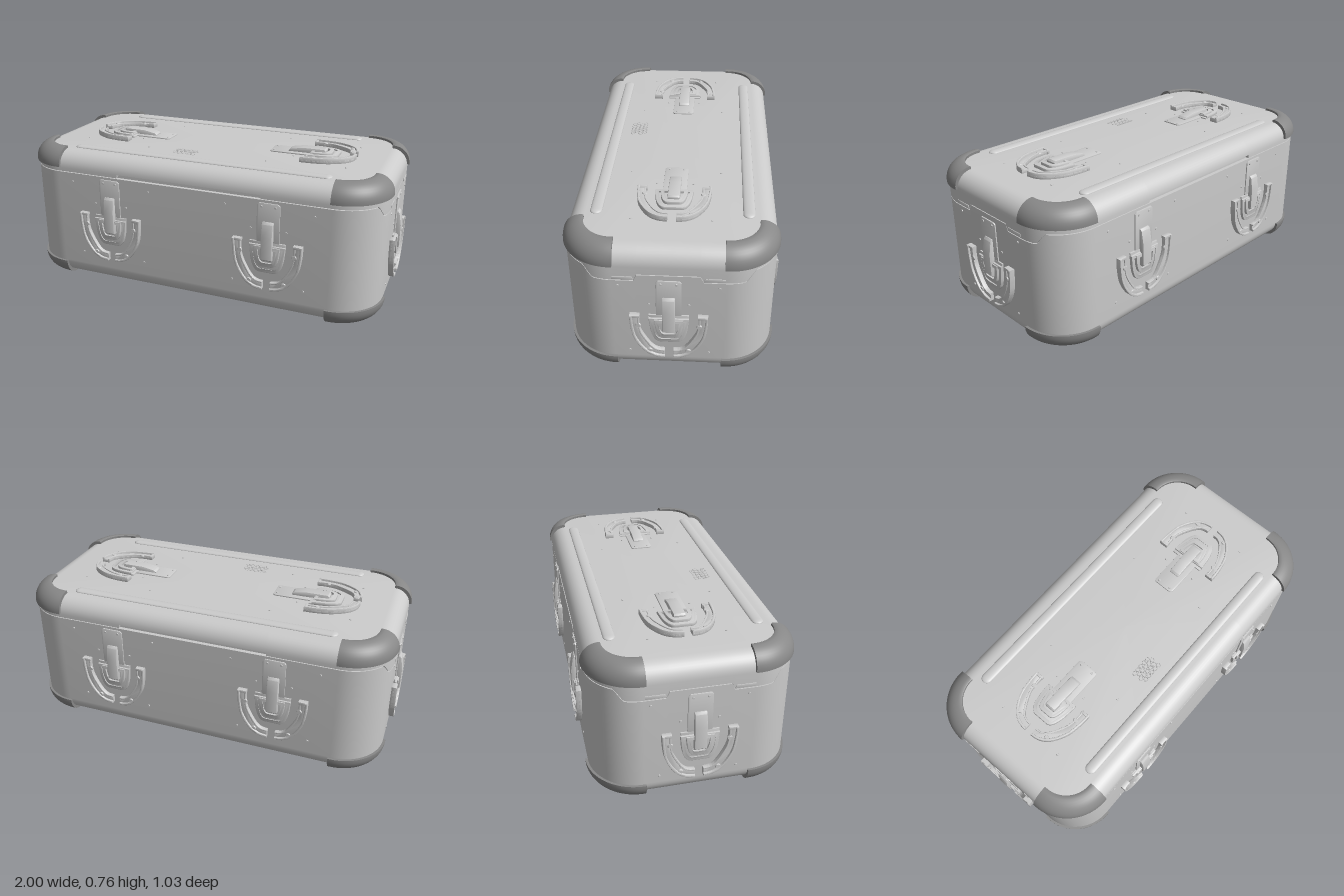
import * as THREE from 'three';
import { toCreasedNormals } from 'three/addons/utils/BufferGeometryUtils.js';

const grey = new THREE.MeshStandardMaterial({ color: 0xcccccc, side: THREE.DoubleSide });
const dark = new THREE.MeshStandardMaterial({ color: 0x888888, side: THREE.DoubleSide });
const W = 0.97, D = 0.485, R = 0.23; // half width, half depth, plan corner radius
const BOTTOM = 0.015, TOP = 0.725, EDGE = 0.085, GUARD_TOP = 0.74;

const mesh = (name, geo, mat = grey) => {
  const m = new THREE.Mesh(geo, mat);
  m.name = name;
  return m;
};
const point = (x, z, nx, nz) => ({ x, z, nx, nz });

// Plan arc of corner k, 0..3, with outward normals; extra lengthens both ends
function cornerArc(k, extra = 0) {
  const sx = k === 0 || k === 3 ? 1 : -1, sz = k < 2 ? 1 : -1, pts = [], N = 24;
  for (let i = 0; i <= N; i++) {
    const a = (k + i / N) * Math.PI / 2, c = Math.cos(a), s = Math.sin(a);
    pts.push(point(sx * (W - R) + R * c, sz * (D - R) + R * s, c, s));
  }
  if (extra) {
    const f = pts[0], l = pts[N];
    pts.unshift(point(f.x + f.nz * extra, f.z - f.nx * extra, f.nx, f.nz));
    pts.push(point(l.x - l.nz * extra, l.z + l.nx * extra, l.nx, l.nz));
  }
  return pts;
}

// Complete plan outline, with extra points where the seam steps
function fullOutline() {
  const pts = [];
  for (let k = 0; k < 4; k++) {
    pts.push(...cornerArc(k));
    const sign = k < 2 ? 1 : -1;
    if (k % 2 === 0) for (const x of [0.392, 0.388, -0.388, -0.392]) pts.push(point(x * sign, D * sign, 0, sign));
    else for (const z of [0.155, 0.14, -0.14, -0.155]) pts.push(point(-W * sign, z * sign, -sign, 0));
  }
  pts.push(pts[0]);
  return pts;
}

// Sweep of [inset, height] rings around an outline; null inset closes to the middle
function loft(outline, rings, endCaps = false) {
  const pos = [];
  const at = ([inset, y], p) => {
    const h = typeof y === 'function' ? y(p.x, p.z) : y;
    return inset === null ? [0, h, 0] : [p.x - p.nx * inset, h, p.z - p.nz * inset];
  };
  for (let i = 0; i < rings.length - 1; i++) for (let j = 0; j < outline.length - 1; j++) {
    const a = at(rings[i], outline[j]), b = at(rings[i], outline[j + 1]);
    const c = at(rings[i + 1], outline[j]), d = at(rings[i + 1], outline[j + 1]);
    if (rings[i][0] !== null) pos.push(...a, ...c, ...b);
    if (rings[i + 1][0] !== null) pos.push(...b, ...c, ...d);
  }
  if (endCaps) for (let i = 1; i < rings.length - 2; i++) {
    const s = outline[0], e = outline[outline.length - 1];
    pos.push(...at(rings[0], s), ...at(rings[i + 1], s), ...at(rings[i], s));
    pos.push(...at(rings[0], e), ...at(rings[i], e), ...at(rings[i + 1], e));
  }
  const g = new THREE.BufferGeometry();
  g.setAttribute('position', new THREE.Float32BufferAttribute(pos, 3));
  return toCreasedNormals(g, 0.6);
}

// Quarter-round edge rings from the wall to the top
const quarter = (inset, y, r, n = 10) => Array.from({ length: n + 1 }, (_, i) => {
  const a = i / n * Math.PI / 2;
  return [inset + r * (1 - Math.cos(a)), y + r * Math.sin(a)];
});

// Height of the seam, which steps down around the ends
function seam(x, z) {
  if (Math.abs(x) < 0.72) return 0.622;
  const k = [[0, 0.6], [0.14, 0.6], [0.155, 0.567], [0.34, 0.567], [0.38, 0.622], [1, 0.622]];
  const t = Math.abs(z), i = k.findIndex(q => q[0] >= t) || 1;
  return THREE.MathUtils.mapLinear(t, k[i - 1][0], k[i][0], k[i - 1][1], k[i][1]);
}
const lidSeam = (x, z) => (Math.abs(x) < 0.39 ? 0.64 : seam(x, z));

const poly = pts => new THREE.Shape(pts.map(p => new THREE.Vector2(...p)));

function plate(name, shape, height, bevel = 0.003, mat = grey) {
  const g = new THREE.ExtrudeGeometry(shape, {
    depth: height - bevel, bevelThickness: bevel, bevelSize: bevel, bevelOffset: -bevel, bevelSegments: 2, curveSegments: 8
  });
  return mesh(name, toCreasedNormals(g, 0.6), mat);
}

// Symmetric trapezoid cup with a rounded lower end
function cup(w, top, bottom) {
  const s = new THREE.Shape(), h = top - bottom;
  s.moveTo(-w, top).lineTo(w, top).lineTo(w * 0.93, top - h * 0.45);
  s.quadraticCurveTo(w * 0.8, bottom, w * 0.4, bottom).lineTo(-w * 0.4, bottom);
  s.quadraticCurveTo(-w * 0.8, bottom, -w * 0.93, top - h * 0.45).closePath();
  return s;
}
function cupRing(outer, inner) {
  const s = cup(...outer);
  s.holes.push(new THREE.Path(cup(...inner).getPoints(8)));
  return s;
}

function rivet(x, y, z, r) {
  const m = mesh('rivet', new THREE.CylinderGeometry(r * 0.8, r, 0.005, 16));
  m.rotation.x = Math.PI / 2;
  m.position.set(x, y, z);
  return m;
}

// Curved band between two smooth edges, on one side of the latch
function band(side, outer, inner) {
  const v = p => new THREE.Vector2(p[0] * side, p[1]);
  const s = new THREE.Shape(), back = inner.slice().reverse();
  s.moveTo(outer[0][0] * side, outer[0][1]).splineThru(outer.slice(1).map(v));
  s.lineTo(back[0][0] * side, back[0][1]).splineThru(back.slice(1).map(v));
  s.closePath();
  return s;
}

// Latch in local space: y runs along the lever, z points out of the case
function latch() {
  const g = new THREE.Group();
  g.name = 'latch';
  const outer = [[0.178, 0.125], [0.175, 0.06], [0.16, -0.015], [0.118, -0.088], [0.07, -0.123], [0.02, -0.132]];
  const lip = [[0.166, 0.125], [0.163, 0.06], [0.149, -0.011], [0.11, -0.078], [0.066, -0.111], [0.02, -0.12]];
  const inner = [[0.135, 0.125], [0.134, 0.06], [0.122, 0.012], [0.086, -0.054], [0.056, -0.083], [0.02, -0.09]];
  const innerLip = [[0.143, 0.125], [0.142, 0.06], [0.13, 0.008], [0.093, -0.06], [0.059, -0.091], [0.02, -0.098]];
  for (const s of [-1, 1]) {
    g.add(plate('guardArm', band(s, outer, inner), 0.017));
    g.add(plate('guardArmRim', band(s, outer, lip), 0.028));
    g.add(plate('guardArmInnerRim', band(s, innerLip, inner), 0.022, 0.002));
    g.add(plate('guardArmTip', poly([[0.178 * s, 0.112], [0.132 * s, 0.112], [0.132 * s, 0.126], [0.178 * s, 0.126]]), 0.024));
    g.add(rivet(0.139 * s, 0.065, 0.02, 0.013), rivet(0.09 * s, -0.092, 0.02, 0.013));
    g.add(rivet(0.225 * s, 0.285, 0.001, 0.007), rivet(0.185 * s, -0.115, 0.001, 0.007));
    g.add(rivet(0.09 * s, 0.18, 0.001, 0.007), rivet(0.035 * s, 0.302, 0.007, 0.007));
  }
  g.add(plate('strikePlate', poly([[-0.058, 0.1], [0.058, 0.1], [0.058, 0.31], [0.048, 0.32], [-0.048, 0.32], [-0.058, 0.31]]), 0.006, 0.002));
  g.add(plate('latchBase', cup(0.092, 0.12, -0.04), 0.007));
  g.add(plate('latchFrame', cupRing([0.092, 0.105, -0.04], [0.077, 0.09, -0.024]), 0.016));
  g.add(plate('latchBail', cupRing([0.066, 0.1, -0.006], [0.05, 0.086, 0.012]), 0.022));
  // Lever drawn as a side profile, then turned so its width runs along x
  const lever = plate('lever', poly([[0.027, 0], [0.027, 0.023], [0.035, 0.031], [0.15, 0.031], [0.215, 0.019], [0.226, 0.01], [0.226, 0]]), 0.054, 0.004);
  lever.geometry.applyMatrix4(new THREE.Matrix4().makeBasis(
    new THREE.Vector3(0, 1, 0), new THREE.Vector3(0, 0, 1), new THREE.Vector3(1, 0, 0)));
  lever.position.x = -0.025;
  g.add(lever);
  return g;
}

export function createModel() {
  const model = new THREE.Group();
  model.name = 'storageCase';
  const outline = fullOutline();

  // Shell: lower box with an inner step, and a lid meeting it at the seam
  const lowEdge = quarter(0, TOP - EDGE, EDGE).reverse().map(([i, y]) => [i, BOTTOM + TOP - y]);
  const rim = (x, z) => seam(x, z) - 0.004;
  model.add(mesh('caseBody', loft(outline, [[null, BOTTOM], ...lowEdge, [0, rim], [0.02, rim], [0.02, 0.66]])));
  model.add(mesh('lid', loft(outline, [[0.03, lidSeam], [0, lidSeam], ...quarter(0, TOP - EDGE, EDGE), [null, TOP]])));

  // Corner guards, top and bottom
  const top = [[-0.012, 0.645], ...quarter(-0.012, 0.65, 0.09), [0.085, 0.737], [0.085, 0.645], [-0.012, 0.645]];
  const bottom = top.map(([i, y]) => [i, GUARD_TOP - y]).reverse();
  for (let k = 0; k < 4; k++) {
    model.add(mesh('topCornerGuard', loft(cornerArc(k, 0.01), top, true), dark));
    model.add(mesh('bottomCornerGuard', loft(cornerArc(k, 0.01), bottom, true), dark));
  }

  // Long beads on the lid
  for (const s of [-1, 1]) {
    const bead = mesh('lidBead', new THREE.CapsuleGeometry(0.028, 1.35, 8, 20));
    bead.rotation.z = Math.PI / 2;
    bead.scale.x = 0.38;
    bead.position.set(0, TOP, 0.352 * s);
    model.add(bead);
  }

  // Small tabs above the end seams
  for (const sx of [-1, 1]) for (const s of [-1, 1]) {
    const tab = plate('endTab', poly([[0.155, 0.572], [0.25, 0.572], [0.25, 0.588], [0.16, 0.588]].map(p => [p[0] * s, p[1]])), 0.003, 0.001);
    tab.rotation.y = sx * Math.PI / 2;
    tab.position.x = sx * W;
    model.add(tab);
  }

  // Honeycomb vent on the lid
  for (let r = 0; r < 4; r++) for (let c = 0; c < 5; c++) {
    const cell = mesh('ventCell', new THREE.TorusGeometry(0.011, 0.002, 4, 6));
    cell.rotation.x = Math.PI / 2;
    cell.position.set(-0.17 + c * 0.025 + (r % 2) * 0.0125, TOP, 0.2 + r * 0.021);
    model.add(cell);
  }

  // Latches on the front, back, ends and lid
  const place = (up, out, pos) => {
    const u = new THREE.Vector3(...up), o = new THREE.Vector3(...out), l = latch();
    l.setRotationFromMatrix(new THREE.Matrix4().makeBasis(u.clone().cross(o), u, o));
    l.position.set(...pos);
    model.add(l);
  };
  for (const s of [-1, 1]) {
    for (const f of [-1, 1]) place([0, 1, 0], [0, 0, f], [0.435 * s, 0.285, D * f]);
    place([0, 1, 0], [s, 0, 0], [W * s, 0.25, 0]);
    place([-s, 0, 0], [0, 1, 0], [0.615 * s, TOP, 0]);
  }
  return model;
}
